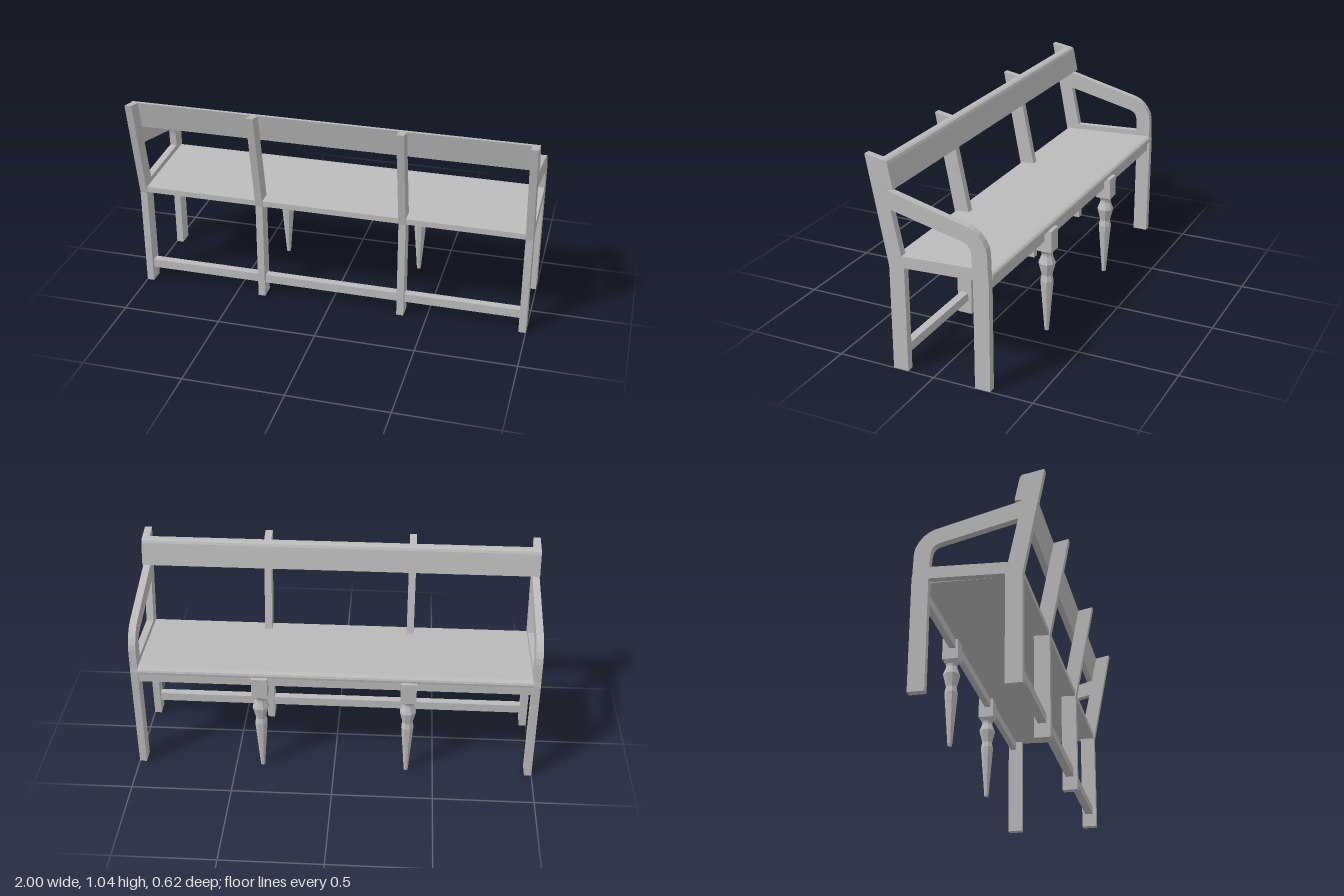
import * as THREE from 'three';

const grey = new THREE.MeshStandardMaterial({ color: 0xbababa });
grey.name = 'grey paint';

export function createModel() {
  const group = new THREE.Group();
  group.name = 'bench';

  const add = (name, geometry, x = 0, y = 0, z = 0) => {
    const mesh = new THREE.Mesh(geometry, grey);
    mesh.name = name;
    mesh.position.set(x, y, z);
    group.add(mesh);
    return mesh;
  };

  // Extrudes a side profile of [z, y] points along x, centred on x = 0
  const toPoints = (list) => list.map(([z, y]) => new THREE.Vector2(z, y));
  const profile = (outline, width, hole) => {
    const shape = new THREE.Shape(toPoints(outline));
    if (hole) shape.holes.push(new THREE.Path(toPoints(hole)));
    const g = new THREE.ExtrudeGeometry(shape, { depth: width, bevelEnabled: false });
    g.translate(0, 0, -width / 2);
    return g.rotateY(-Math.PI / 2);
  };

  // End frames: both legs, raked back post, curved arm and seat rail
  const frame = profile([
    [0.21, 0], [0.21, 0.52], [0.31, 1.04], [0.235, 1.026], [0.205, 0.885],
    [-0.19, 0.786], [-0.215, 0.775], [-0.24, 0.757], [-0.262, 0.73],
    [-0.278, 0.7], [-0.284, 0.67], [-0.287, 0.57], [-0.29, 0.55], [-0.29, 0],
    [-0.213, 0], [-0.213, 0.539], [0.133, 0.524], [0.133, 0],
  ], 0.036, [
    [0.19, 0.796], [0.145, 0.58], [-0.211, 0.597], [-0.206, 0.67],
    [-0.2, 0.688], [-0.188, 0.703], [-0.17, 0.712],
  ]);

  // Middle back posts continue straight down as legs
  const post = profile([
    [0.21, 0], [0.21, 0.52], [0.31, 1.04], [0.235, 1.026],
    [0.133, 0.524], [0.133, 0],
  ], 0.036);

  // Turned front legs: square block above an eight-sided baluster
  const turned = [
    [0.001, 0], [0.01, 0], [0.03, 0.27], [0.024, 0.3], [0.039, 0.365],
    [0.025, 0.405], [0.026, 0.418], [0.039, 0.437], [0.001, 0.437],
  ].map(([r, y]) => new THREE.Vector2(r / Math.cos(Math.PI / 8), y));
  const baluster = new THREE.LatheGeometry(turned, 8, Math.PI / 8).toNonIndexed();
  baluster.computeVertexNormals();
  const block = new THREE.BoxGeometry(0.078, 0.11, 0.078);

  for (const side of [-1, 1]) {
    const label = side > 0 ? 'left' : 'right';
    add(`${label}EndFrame`, frame, side * 0.982);
    add(`${label}MiddlePost`, post, side * 0.365);
    add(`${label}TurnedLeg`, baluster, side * 0.365, 0, -0.273);
    add(`${label}TurnedLegBlock`, block, side * 0.365, 0.49, -0.273);
  }

  // Sloping seat with a rounded front lip
  add('seat', profile([
    [0.207, 0.522], [0.207, 0.551], [-0.268, 0.573], [-0.282, 0.571],
    [-0.291, 0.564], [-0.294, 0.554], [-0.292, 0.543], [-0.285, 0.538],
  ], 1.93));

  // Apron under the front of the seat
  add('seatApron', new THREE.BoxGeometry(1.93, 0.052, 0.03), 0, 0.516, -0.262);

  // Back board with a rounded front top edge
  add('backBoard', profile([
    [0.235, 1.026], [0.213, 1.024], [0.202, 1.018], [0.196, 1.006],
    [0.173, 0.893], [0.206, 0.888],
  ], 2));

  // Low stretchers between the rear legs
  for (const [x, length] of [[-0.6735, 0.581], [0, 0.694], [0.6735, 0.581]]) {
    add('stretcher', new THREE.BoxGeometry(length, 0.045, 0.04), x, 0.093, 0.171);
  }

  return group;
}
